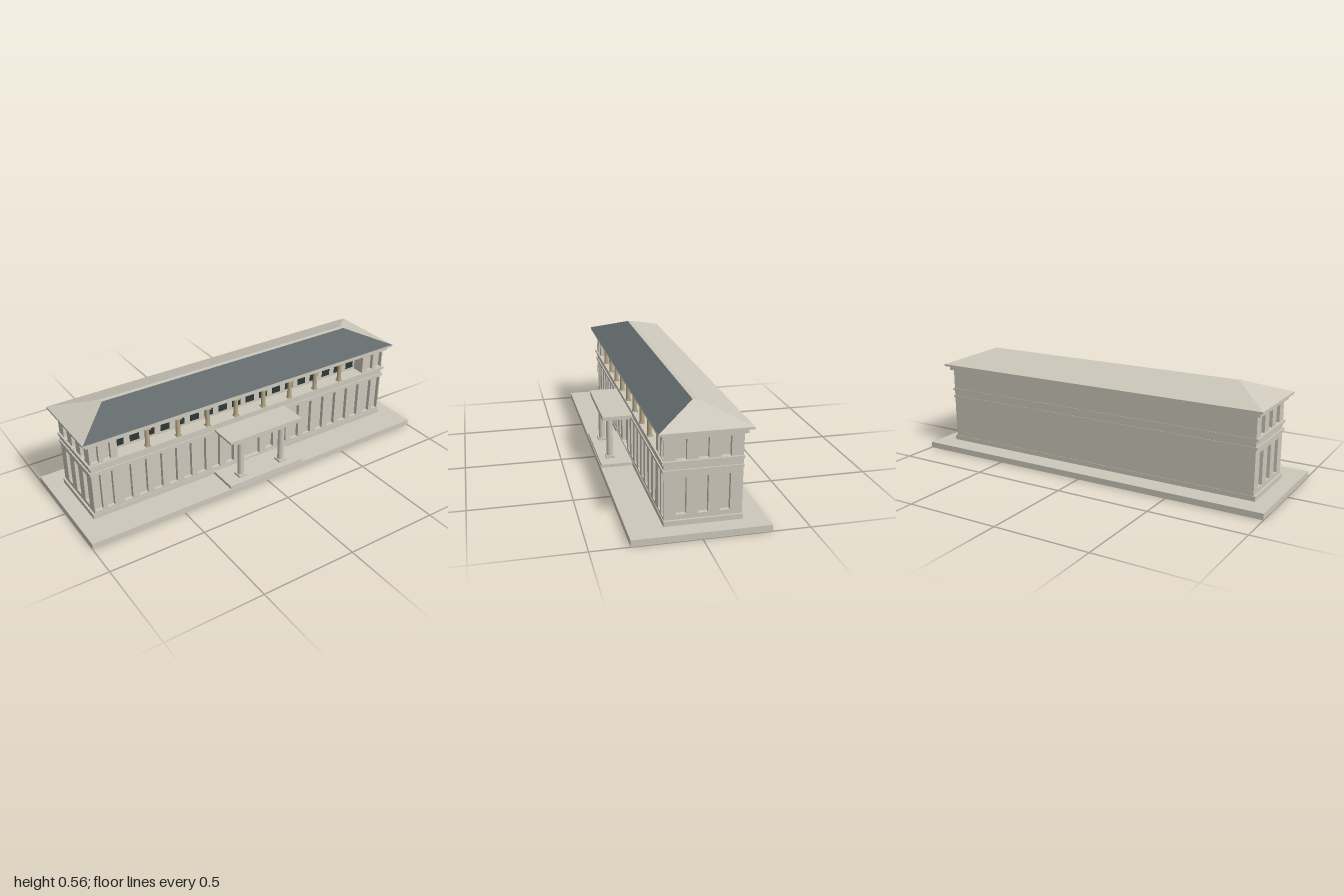
import * as THREE from 'three';

function material(name, color, side = THREE.FrontSide) {
  const m = new THREE.MeshStandardMaterial({ color, side });
  m.name = name;
  return m;
}

export function createModel() {
  const group = new THREE.Group();
  const stone = material('stone', 0xcdc8bb);
  const slate = material('slate', 0x616a6b);
  const glass = material('dark glass', 0x2e3737);
  const bronze = material('tan columns', 0xb9a988);

  function add(name, geometry, mat, x = 0, y = 0, z = 0) {
    const mesh = new THREE.Mesh(geometry, mat);
    mesh.name = name;
    mesh.position.set(x, y, z);
    group.add(mesh);
    return mesh;
  }
  // Box given by its limits on each axis
  function block(name, x0, x1, y0, y1, z0, z1, mat = stone) {
    return add(name, new THREE.BoxGeometry(x1 - x0, y1 - y0, z1 - z0), mat,
      (x0 + x1) / 2, (y0 + y1) / 2, (z0 + z1) / 2);
  }
  function rect(path, x0, x1, y0, y1) {
    path.moveTo(x0, y0).lineTo(x1, y0).lineTo(x1, y1).lineTo(x0, y1).closePath();
    return path;
  }
  // Wall skin with rectangular openings [x0, x1, y0, y1]
  function wallSkin(x0, x1, y0, y1, openings) {
    const shape = rect(new THREE.Shape(), x0, x1, y0, y1);
    for (const o of openings) shape.holes.push(rect(new THREE.Path(), ...o));
    return new THREE.ExtrudeGeometry(shape, { depth: 0.02, bevelEnabled: false });
  }

  // Ground slab, plinth and entrance step
  block('groundSlab', -1, 1, 0, 0.032, -0.32, 0.32);
  block('plinth', -0.915, 0.915, 0.032, 0.057, -0.208, 0.157);
  block('entranceStep', -0.227, 0.227, 0.032, 0.048, 0.15, 0.317);

  // Solid core behind the wall skins
  block('lowerCore', -0.885, 0.885, 0.032, 0.338, -0.206, 0.134);
  block('upperCore', -0.885, 0.885, 0.338, 0.445, -0.206, 0.085);
  for (const s of [-1, 1]) {
    const a = s * 0.76, b = s * 0.885;
    block('endBayCore', Math.min(a, b), Math.max(a, b), 0.338, 0.445, 0.085, 0.134);
  }

  // Front wall: ground floor bays, doorway, end bays and open gallery
  const bays = Array.from({ length: 18 }, (_, i) => -0.72 + i * 1.44 / 17);
  const openings = [[-0.063, 0.063, 0.058, 0.275], [-0.76, 0.76, 0.338, 0.444]];
  for (const x of bays) {
    if (Math.abs(x) > 0.06) openings.push([x - 0.024, x + 0.024, 0.07, 0.273]);
  }
  for (const x of [-0.878, -0.815, 0.815, 0.878]) {
    openings.push([x - 0.02, x + 0.02, 0.07, 0.273], [x - 0.02, x + 0.02, 0.343, 0.434]);
  }
  add('frontWall', wallSkin(-0.905, 0.905, 0.032, 0.445, openings), stone, 0, 0, 0.134);

  // Side walls with two rows of three recessed bays
  for (const s of [-1, 1]) {
    const holes = [];
    for (const z of [0.075, -0.025, -0.126]) {
      const u = -s * z;
      holes.push([u - 0.0235, u + 0.0235, 0.08, 0.257], [u - 0.0235, u + 0.0235, 0.339, 0.434]);
    }
    const ends = [s * 0.206, -s * 0.134].sort((a, b) => a - b);
    const wall = add('sideWall', wallSkin(ends[0], ends[1], 0.032, 0.445, holes), stone, s * 0.885);
    wall.rotation.y = s * Math.PI / 2;
  }

  // String courses, cornice and eaves
  block('lowerBand', -0.912, 0.912, 0.282, 0.296, -0.208, 0.16);
  block('upperBand', -0.915, 0.915, 0.325, 0.338, -0.208, 0.163);
  block('cornice', -0.923, 0.923, 0.445, 0.468, -0.219, 0.167);
  block('eaves', -0.942, 0.942, 0.468, 0.479, -0.239, 0.186);

  // Gallery windows
  for (const x of bays) block('galleryWindow', x - 0.025, x + 0.025, 0.353, 0.421, 0.084, 0.088, glass);

  // Gallery columns
  for (let i = 0; i < 8; i++) {
    const x = -0.597 + i * 1.194 / 7;
    add('galleryColumn', new THREE.CylinderGeometry(0.011, 0.012, 0.107, 16), bronze, x, 0.3915, 0.147);
    block('galleryColumnBase', x - 0.013, x + 0.013, 0.338, 0.345, 0.134, 0.16, bronze);
    block('galleryColumnCapital', x - 0.015, x + 0.015, 0.434, 0.445, 0.132, 0.162, bronze);
  }

  // Entrance portico
  for (const x of [-0.127, 0.127]) {
    add('porticoColumn', new THREE.CylinderGeometry(0.017, 0.017, 0.21, 24), stone, x, 0.164, 0.257);
    block('porticoColumnBase', x - 0.023, x + 0.023, 0.048, 0.06, 0.234, 0.28);
    block('porticoColumnCapital', x - 0.02, x + 0.02, 0.268, 0.277, 0.237, 0.277);
  }
  block('porticoBeam', -0.2, 0.2, 0.276, 0.291, 0.15, 0.303);
  block('porticoRoof', -0.22, 0.22, 0.291, 0.303, 0.15, 0.305);

  // Hipped roof with a narrow flat ridge, corners ordered anticlockwise
  const eave = [[-0.942, 0.479, 0.186], [0.942, 0.479, 0.186], [0.942, 0.479, -0.239], [-0.942, 0.479, -0.239]];
  const ridge = [[-0.745, 0.555, -0.014], [0.745, 0.555, -0.014], [0.745, 0.555, -0.038], [-0.745, 0.555, -0.038]];
  function quad(name, corners, mat) {
    const [a, b, c, d] = corners;
    const g = new THREE.BufferGeometry();
    g.setAttribute('position', new THREE.Float32BufferAttribute([a, b, c, a, c, d].flat(), 3));
    g.computeVertexNormals();
    add(name, g, mat);
  }
  const names = ['frontRoofSlope', 'leftRoofSlope', 'backRoofSlope', 'rightRoofSlope'];
  names.forEach((name, i) => {
    const j = (i + 1) % 4;
    quad(name, [eave[i], eave[j], ridge[j], ridge[i]], i === 0 ? slate : stone);
  });
  quad('roofRidge', ridge, stone);

  return group;
}
